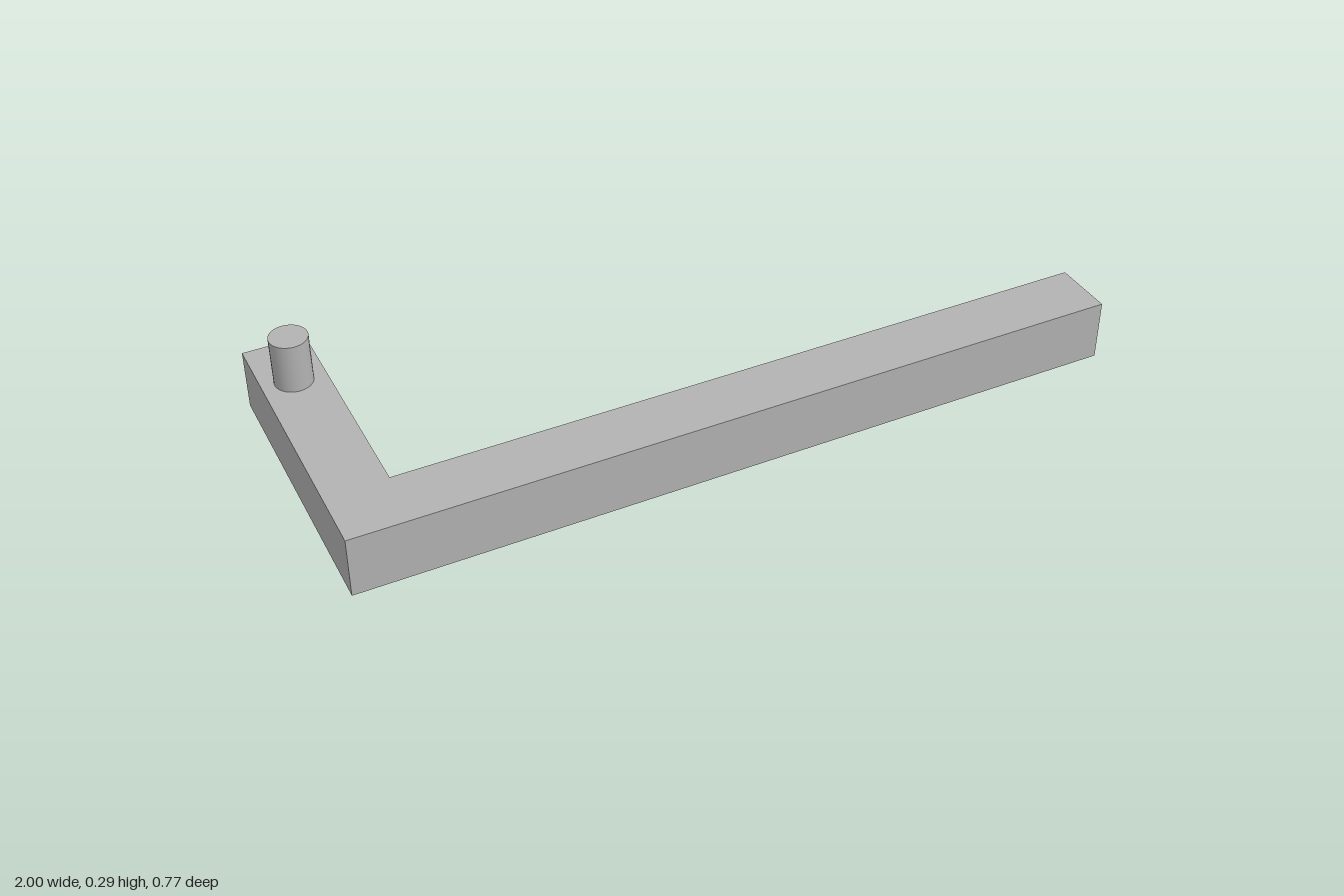
import * as THREE from 'three';

export function createModel() {
  const group = new THREE.Group();
  const grey = new THREE.MeshStandardMaterial({ color: 0xb2b2b2 });
  grey.name = 'plain grey';

  const height = 0.161, width = 0.16, halfDepth = 0.383;
  const pinRadius = 0.048, pinHeight = 0.129;

  // L-shaped bar: plan outline (x, -z) extruded upwards
  const inner = -halfDepth + width;
  const outline = new THREE.Shape([
    [-1, -halfDepth], [1, -halfDepth], [1, inner],
    [-1 + width, inner], [-1 + width, halfDepth], [-1, halfDepth],
  ].map(([x, y]) => new THREE.Vector2(x, y)));
  const barGeometry = new THREE.ExtrudeGeometry(outline, { depth: height, bevelEnabled: false });
  barGeometry.rotateX(-Math.PI / 2);
  const bar = new THREE.Mesh(barGeometry, grey);
  bar.name = 'angledBar';
  group.add(bar);

  // Round pin standing on the short arm
  const pin = new THREE.Mesh(new THREE.CylinderGeometry(pinRadius, pinRadius, pinHeight, 32), grey);
  pin.name = 'pin';
  pin.position.set(-1 + width / 2, height + pinHeight / 2, -0.222);
  group.add(pin);

  return group;
}
